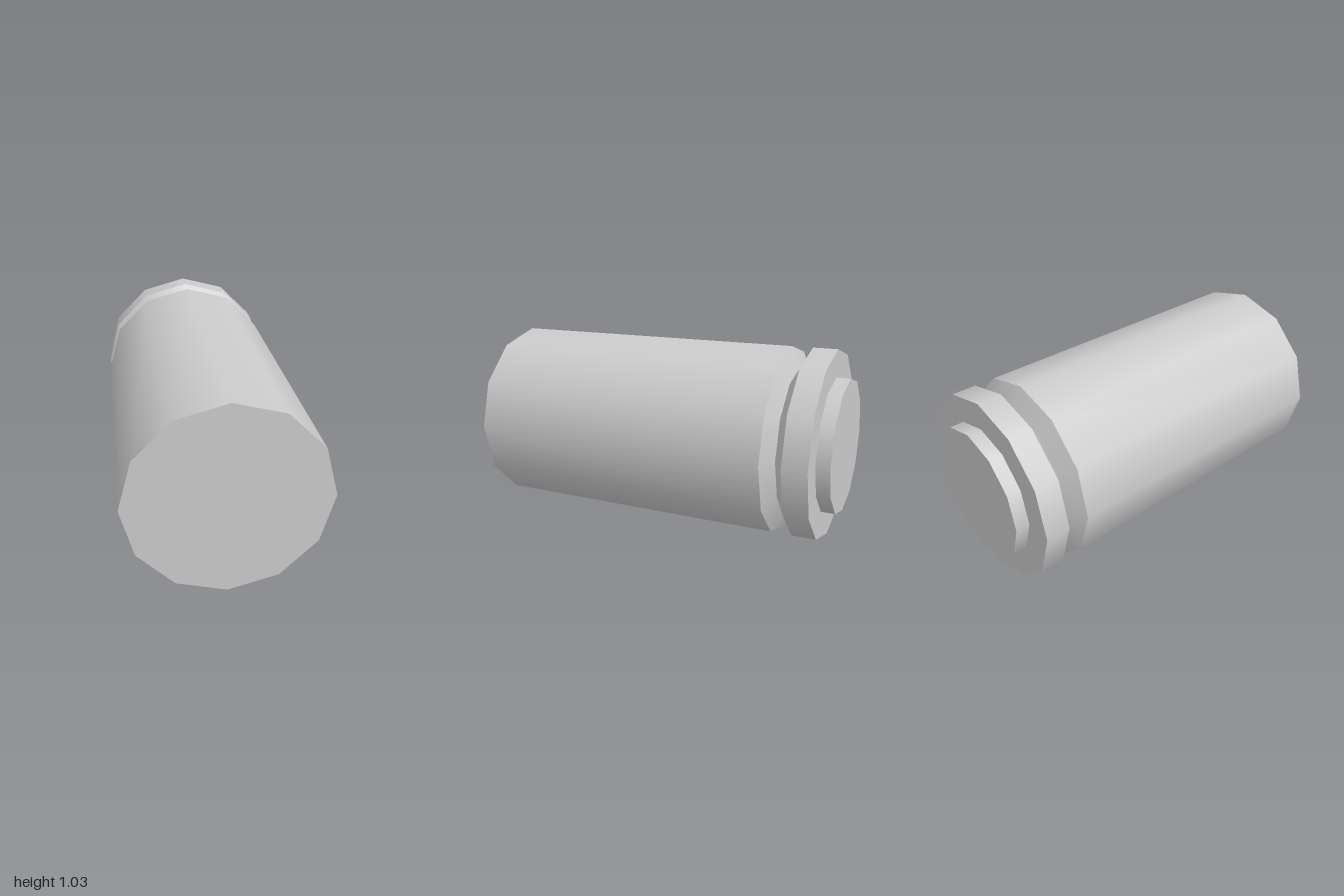
import * as THREE from 'three';

const SIDES = 12;
const R = 0.516;      // outer radius
const GROOVE = 0.41;  // radius at the bottom of the groove
const NUB = 0.367;    // radius of the rear contact

export function createModel() {
  const model = new THREE.Group();
  const material = new THREE.MeshStandardMaterial({ color: 0xcccccc });

  const add = (name, geometry) => {
    const mesh = new THREE.Mesh(geometry, material);
    mesh.name = name;
    mesh.position.y = R;
    model.add(mesh);
  };

  // Open band along z; smooth around, sharp where bands meet
  const band = (name, zFront, rFront, zBack, rBack) => {
    const g = new THREE.CylinderGeometry(rFront, rBack, zFront - zBack, SIDES, 1, true);
    g.rotateX(Math.PI / 2);
    g.translate(0, 0, (zFront + zBack) / 2);
    add(name, g);
  };

  // Flat end faces
  const frontFace = new THREE.CircleGeometry(R, SIDES).translate(0, 0, 1);
  const rearShoulder = new THREE.RingGeometry(NUB, R, SIDES).rotateY(Math.PI).translate(0, 0, -0.925);
  const nubFace = new THREE.CircleGeometry(NUB, SIDES).rotateY(Math.PI).translate(0, 0, -1);

  // Main body
  add('frontFace', frontFace);
  band('body', 1, R, -0.68, R);

  // V-shaped groove
  band('grooveFrontSlope', -0.68, R, -0.733, GROOVE);
  band('grooveRearSlope', -0.733, GROOVE, -0.793, R);

  // Rear rim and contact
  band('rearRim', -0.793, R, -0.925, R);
  add('rearShoulder', rearShoulder);
  band('rearNub', -0.925, NUB, -1, NUB);
  add('rearNubFace', nubFace);

  return model;
}
